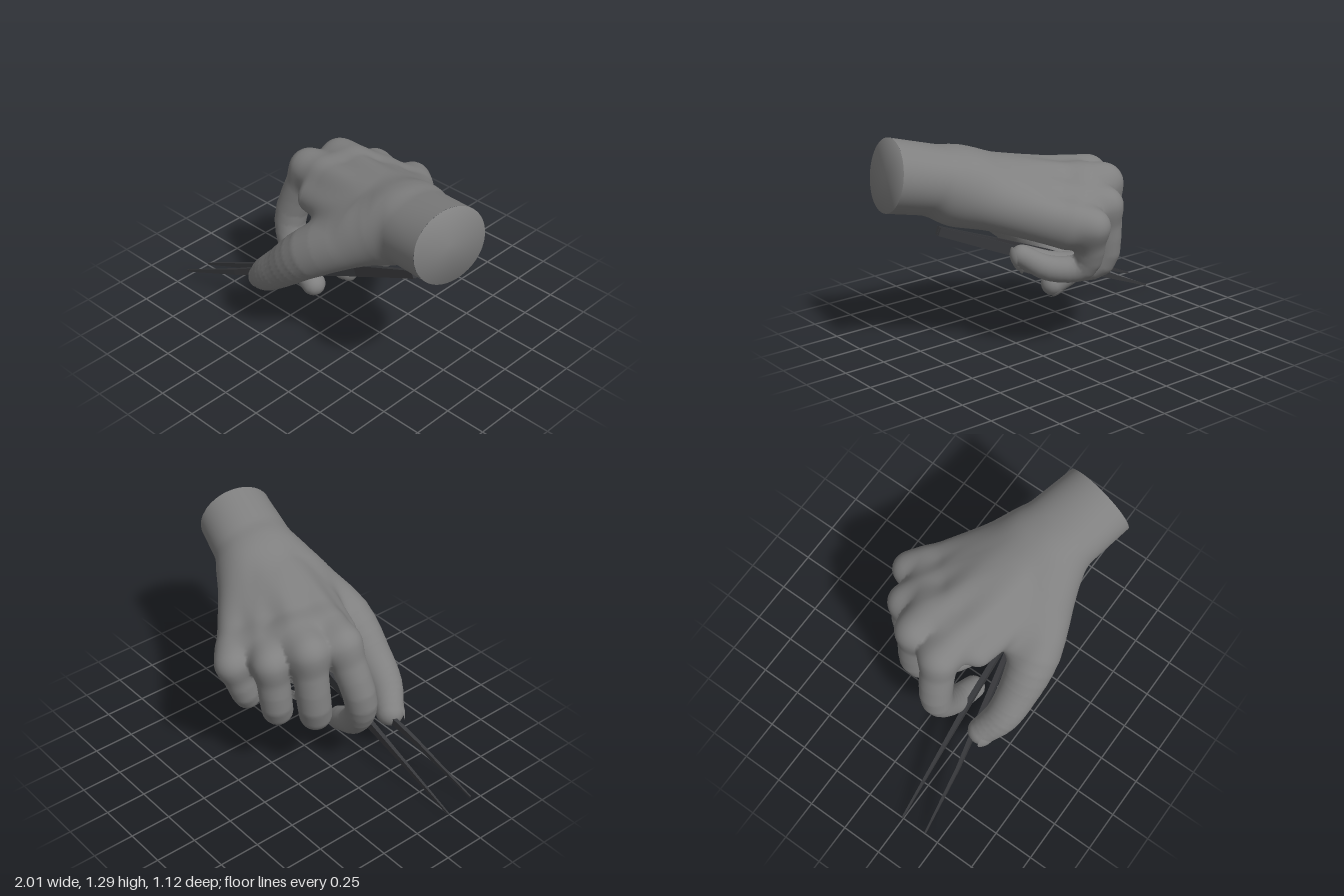
import * as THREE from 'three';

const V = (x, y, z) => new THREE.Vector3(x, y, z);

// A bone is a round cone between two joints; each joint is [x, y, z, radius]
const palmBones = [
  [[0.55, 1.0, 0.19, 0.185], [1.2, 1.13, 0.328, 0.2]],     // forearm, thumb side
  [[0.55, 1.0, 0.05, 0.175], [1.2, 1.152, 0.275, 0.192]],  // forearm, little finger side
  [[0.55, 1.035, 0.18, 0.135], [-0.3, 0.92, 0.02, 0.098]], // metacarpals
  [[0.55, 1.03, 0.1, 0.138], [-0.25, 0.922, -0.18, 0.098]],
  [[0.55, 1.0, 0.03, 0.138], [-0.12, 0.845, -0.34, 0.09]],
  [[0.55, 0.96, 0, 0.138], [0.07, 0.79, -0.465, 0.082]],
  [[-0.16, 0.925, 0.02, 0.1], [-0.12, 0.915, -0.17, 0.1]], // flesh between the knuckles
  [[-0.12, 0.915, -0.17, 0.1], [0.13, 0.8, -0.4, 0.09]],
  [[0.6, 0.93, 0.1, 0.145], [-0.1, 0.8, -0.08, 0.1]],      // palm
  [[0.6, 0.95, 0.05, 0.135], [0.17, 0.755, -0.35, 0.097]], // heel of the hand
  [[0.5, 0.9, 0.18, 0.125], [0.1, 0.765, 0.24, 0.1]],      // base of the thumb
  [[0.35, 0.94, 0.26, 0.125], [-0.13, 0.855, 0.165, 0.085]], // web by the thumb
];

// Joints from the knuckle to the tip; `rooted` segments melt into the palm
const fingers = [
  { name: 'index', rooted: 1, blend: 0.07, nailNormal: [-0.3, -0.8, -0.4], nailAxis: [0.85, -0.4, 0.15],
    joints: [[-0.3, 0.917, 0.02, 0.106], [-0.41, 0.54, 0.08, 0.094], [-0.31, 0.335, 0.12, 0.084], [-0.15, 0.237, 0.15, 0.071]] },
  { name: 'middle', rooted: 1, blend: 0.07, nailNormal: [0.9, -0.05, 0.25], nailAxis: [0, 1, 0.4],
    joints: [[-0.25, 0.92, -0.18, 0.104], [-0.27, 0.49, -0.14, 0.095], [-0.1, 0.4, -0.01, 0.088], [0.07, 0.445, 0.105, 0.075]] },
  { name: 'ring', rooted: 1, blend: 0.07, nailNormal: [0.9, -0.05, 0.2], nailAxis: [0, 1, 0.4],
    joints: [[-0.12, 0.845, -0.34, 0.096], [-0.125, 0.51, -0.3, 0.09], [0.07, 0.48, -0.15, 0.082], [0.22, 0.535, -0.04, 0.07]] },
  { name: 'little', rooted: 1, blend: 0.06, nailNormal: [0.9, -0.05, 0.2], nailAxis: [0, 1, 0.4],
    joints: [[0.07, 0.787, -0.465, 0.086], [0.06, 0.54, -0.375, 0.079], [0.22, 0.53, -0.27, 0.072], [0.34, 0.605, -0.17, 0.061]] },
  { name: 'thumb', rooted: 3, blend: 0.09, nailNormal: [-0.35, 0.15, 0.9], nailAxis: [-0.7, -0.6, -0.2],
    joints: [[0.46, 0.94, 0.26, 0.155], [0.1, 0.72, 0.405, 0.147], [-0.1, 0.535, 0.43, 0.119], [-0.24, 0.41, 0.42, 0.103], [-0.355, 0.302, 0.36, 0.084]] },
];

// Round each finger by splitting its segments along a smooth curve
const SPLIT = 4;
for (const f of fingers) {
  const curve = new THREE.CatmullRomCurve3(f.joints.map((j) => V(j[0], j[1], j[2])));
  const segments = f.joints.length - 1, count = segments * SPLIT;
  const joints = Array.from({ length: count + 1 }, (_, i) => {
    const s = Math.min(segments - 1, Math.floor(i / SPLIT));
    const radius = THREE.MathUtils.lerp(f.joints[s][3], f.joints[s + 1][3], i / SPLIT - s);
    return [...curve.getPoint(i / count).toArray(), radius];
  });
  f.bones = joints.slice(1).map((j, i) => [joints[i], j]);
}

function coneDistance([a, b], x, y, z) {
  const dx = b[0] - a[0], dy = b[1] - a[1], dz = b[2] - a[2];
  const px = x - a[0], py = y - a[1], pz = z - a[2];
  const t = Math.min(1, Math.max(0, (px * dx + py * dy + pz * dz) / (dx * dx + dy * dy + dz * dz)));
  const ex = px - t * dx, ey = py - t * dy, ez = pz - t * dz;
  return Math.sqrt(ex * ex + ey * ey + ez * ez) - a[3] - t * (b[3] - a[3]);
}

function smoothMin(a, b, k) {
  const h = Math.max(k - Math.abs(a - b), 0) / k;
  return Math.min(a, b) - h * h * k / 4;
}

// Distance to the skin: palm, with the fingers melted in at their roots
function skin(x, y, z) {
  let palm = 10;
  for (const bone of palmBones) palm = smoothMin(palm, coneDistance(bone, x, y, z), 0.085);
  let d = palm;
  for (const f of fingers) {
    let root = 10, tip = 10;
    f.bones.forEach((bone, i) => {
      const c = coneDistance(bone, x, y, z);
      if (i < f.rooted * SPLIT) root = Math.min(root, c);
      else tip = Math.min(tip, c);
    });
    d = Math.min(d, smoothMin(palm, root, f.blend), tip);
  }
  return d;
}

// Wrist cut: positive beyond the plane
const cut = (p) => p.x + 0.17 * p.y + 0.2 * p.z - 1.18;
const forearmAxis = V(1, 0.2, 0.15);

function gradient(p) {
  const e = 0.004;
  return V(
    skin(p.x + e, p.y, p.z) - skin(p.x - e, p.y, p.z),
    skin(p.x, p.y + e, p.z) - skin(p.x, p.y - e, p.z),
    skin(p.x, p.y, p.z + e) - skin(p.x, p.y, p.z - e)).normalize();
}

// Wraps a smooth quad mesh around the skin distance on a regular grid
function skinGeometry() {
  const step = 0.02, min = [-0.6, 0.08, -0.64], size = [86, 66, 64];
  const stride = [1, size[0], size[0] * size[1]];
  const total = stride[2] * size[2];
  const field = new Float32Array(total), vertexOf = new Int32Array(total).fill(-1);
  const eachCell = (from, to, fn) => {
    for (let k = from; k < size[2] - to; k++)
      for (let j = from; j < size[1] - to; j++)
        for (let i = from; i < size[0] - to; i++) fn(i + j * stride[1] + k * stride[2], [i, j, k]);
  };
  eachCell(0, 0, (n, c) => {
    field[n] = skin(...c.map((v, a) => min[a] + v * step));
  });

  // One vertex in each cell the skin passes through, pulled back to the wrist cut
  const positions = [], normals = [], index = [], beyond = [];
  eachCell(0, 1, (n, c) => {
    const sum = [0, 0, 0];
    let hits = 0;
    for (let corner = 0; corner < 8; corner++) {
      const bits = [corner & 1, (corner >> 1) & 1, corner >> 2];
      const m = n + bits[0] + bits[1] * stride[1] + bits[2] * stride[2];
      for (let a = 0; a < 3; a++) {
        if (bits[a] || (field[m] < 0) === (field[m + stride[a]] < 0)) continue;
        const t = field[m] / (field[m] - field[m + stride[a]]);
        for (let q = 0; q < 3; q++) sum[q] += bits[q] + (q === a ? t : 0);
        hits++;
      }
    }
    if (!hits) return;
    const p = V(...sum.map((s, a) => min[a] + (c[a] + s / hits) * step));
    p.addScaledVector(gradient(p), -skin(p.x, p.y, p.z));
    const normal = gradient(p);
    const excess = cut(p);
    if (excess > 0) p.addScaledVector(forearmAxis, -excess / 1.064);
    vertexOf[n] = beyond.length;
    beyond.push(excess > 0);
    positions.push(p.x, p.y, p.z);
    normals.push(normal.x, normal.y, normal.z);
  });

  // One quad across each grid edge the skin crosses
  eachCell(1, 1, (n) => {
    for (let a = 0; a < 3; a++) {
      const inside = field[n] < 0;
      if (inside === (field[n + stride[a]] < 0)) continue;
      const b = stride[(a + 1) % 3], c = stride[(a + 2) % 3];
      const q = [n, n - b, n - b - c, n - c].map((m) => vertexOf[m]);
      if (q.every((v) => beyond[v])) continue;
      if (!inside) q.reverse();
      index.push(q[0], q[1], q[2], q[0], q[2], q[3]);
    }
  });
  const g = new THREE.BufferGeometry();
  g.setAttribute('position', new THREE.Float32BufferAttribute(positions, 3));
  g.setAttribute('normal', new THREE.Float32BufferAttribute(normals, 3));
  g.setIndex(index);
  return g;
}

// Disc on the wrist cut whose rim is moved out to the skin, shaded softly towards the rim
function wristGeometry() {
  const centre = V(0.947, 1.09, 0.24), n = V(1, 0.17, 0.2).normalize();
  const u = V(-0.17, 1, 0).normalize(), v = n.clone().cross(u);
  const g = new THREE.CircleGeometry(1, 72), { position, normal } = g.attributes;
  for (let i = 0; i < position.count; i++) {
    const dir = u.clone().multiplyScalar(position.getX(i)).addScaledVector(v, position.getY(i));
    let near = 0, far = i ? 0.4 : 0;
    for (let s = 0; s < 16; s++) {
      const mid = (near + far) / 2, p = centre.clone().addScaledVector(dir, mid);
      if (skin(p.x, p.y, p.z) < 0) near = mid; else far = mid;
    }
    position.setXYZ(i, ...centre.clone().addScaledVector(dir, near).toArray());
    normal.setXYZ(i, ...dir.multiplyScalar(0.7).add(n).normalize().toArray());
  }
  return g;
}

// Flat bar through stations [x, y, z, half height, half thickness]
function barGeometry(stations) {
  const g = new THREE.BoxGeometry(2, 2, 2, 1, 1, stations.length - 1), pos = g.attributes.position;
  for (let i = 0; i < pos.count; i++) {
    const s = Math.round((pos.getZ(i) + 1) / 2 * (stations.length - 1));
    const [x, y, z, h, t] = stations[s];
    const rise = pos.getY(i) * h;
    pos.setXYZ(i, x - 0.39 * rise, y + 0.92 * rise, z - pos.getX(i) * t);
  }
  g.computeVertexNormals();
  return g;
}

export function createModel() {
  const model = new THREE.Group();
  const skinMaterial = new THREE.MeshStandardMaterial({ color: 0x808080 });
  const metal = new THREE.MeshStandardMaterial({ color: 0x37383b, flatShading: true });
  const add = (name, geometry, material) => {
    const mesh = new THREE.Mesh(geometry, material);
    mesh.name = name;
    model.add(mesh);
    return mesh;
  };

  add('hand', skinGeometry(), skinMaterial);
  add('wristCut', wristGeometry(), skinMaterial);

  // Nails: oval caps hugging the fingertips
  for (const f of fingers) {
    const [x, y, z, r] = f.joints.at(-1);
    const cap = new THREE.SphereGeometry(r + 0.004, 24, 8, 0, Math.PI * 2, 0, 0.8);
    cap.scale(0.92, 1, 1.25);
    const nail = add(f.name + 'Nail', cap, skinMaterial);
    const up = V(...f.nailNormal).normalize();
    const side = up.clone().cross(V(...f.nailAxis)).normalize();
    nail.quaternion.setFromRotationMatrix(new THREE.Matrix4().makeBasis(side, up, side.clone().cross(up)));
    nail.position.set(x, y, z);
  }

  // Tweezers: two tapering arms joined at the rear
  add('frontTweezerArm', barGeometry([[-1, 0.043, 0.413, 0.006, 0.005], [-0.6, 0.21, 0.365, 0.018, 0.01],
    [-0.25, 0.36, 0.3, 0.03, 0.016], [0.25, 0.565, 0.203, 0.032, 0.014], [0.66, 0.73, 0.182, 0.024, 0.01]]), metal);
  add('backTweezerArm', barGeometry([[-1, 0.008, 0.243, 0.006, 0.005], [-0.6, 0.18, 0.22, 0.018, 0.01],
    [-0.25, 0.33, 0.2, 0.03, 0.016], [0.25, 0.55, 0.186, 0.032, 0.014], [0.66, 0.725, 0.168, 0.024, 0.01]]), metal);
  return model;
}
